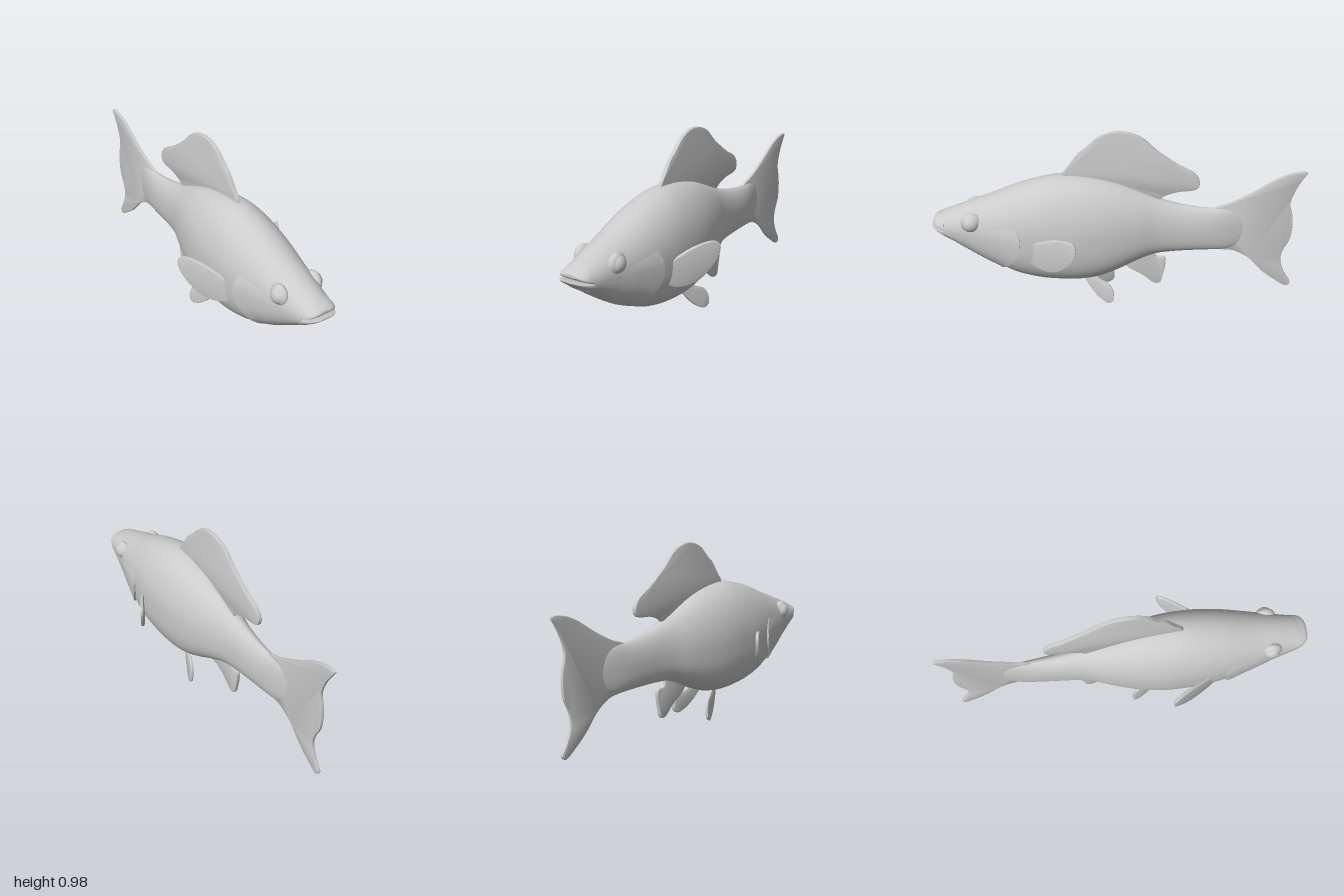
import * as THREE from 'three';
import { toCreasedNormals } from 'three/addons/utils/BufferGeometryUtils.js';

const material = new THREE.MeshStandardMaterial({ color: 0xcccccc, roughness: 0.7 });
const thinMaterial = new THREE.MeshStandardMaterial({ color: 0xcccccc, roughness: 0.7, side: THREE.DoubleSide });

// Smooth interpolation of table rows [key, ...values], keys ascending
function sample(table, key) {
  const n = table.length;
  let i = 0;
  while (i < n - 2 && key > table[i + 1][0]) i++;
  const a = table[i], b = table[i + 1], h = b[0] - a[0];
  const t = THREE.MathUtils.clamp((key - a[0]) / h, 0, 1);
  const slope = (k, c) => {
    const p = table[Math.max(k - 1, 0)], q = table[Math.min(k + 1, n - 1)];
    return (q[c] - p[c]) / (q[0] - p[0]);
  };
  return a.slice(1).map((v, k) => {
    const c = k + 1, t2 = t * t, t3 = t2 * t;
    return v * (2 * t3 - 3 * t2 + 1) + b[c] * (3 * t2 - 2 * t3)
      + h * (slope(i, c) * (t3 - 2 * t2 + t) + slope(i + 1, c) * (t3 - t2));
  });
}

// Point on a lofted skin: round above the widest line, fuller below it
function skin(table, z, angle, offset = 0) {
  const [top, bottom, half, mid] = sample(table, z);
  const s = Math.sin(angle), c = Math.cos(angle);
  const e = s < 0 ? 0.77 : 1;
  const x = Math.sign(c) * Math.pow(Math.abs(c), e) * (half + offset);
  const y = s < 0 ? mid - Math.pow(-s, e) * (mid - bottom + offset) : mid + s * (top - mid + offset);
  return [x, y, z];
}

// Indexed surface from rows of points
function surface(rows, closed) {
  const n = rows[0].length, index = [];
  for (let i = 0; i < rows.length - 1; i++) {
    for (let j = 0; j < (closed ? n : n - 1); j++) {
      const a = i * n + j, b = i * n + (j + 1) % n;
      index.push(a, a + n, b, b, a + n, b + n);
    }
  }
  const geometry = new THREE.BufferGeometry();
  geometry.setAttribute('position', new THREE.Float32BufferAttribute(rows.flat(2), 3));
  geometry.setIndex(index);
  geometry.computeVertexNormals();
  return geometry;
}

// Closed loft with flat caps, running from the front to the back
function loft(table, steps, sides = 64) {
  const z0 = table[0][0], z1 = table[table.length - 1][0], rows = [];
  for (let i = 0; i <= steps; i++) {
    const z = z1 + (z0 - z1) * i / steps;
    rows.push(Array.from({ length: sides }, (_, j) => skin(table, z, j / sides * Math.PI * 2)));
  }
  const cap = (row, z) => row.map(() => [0, sample(table, z)[3], z]);
  const first = rows[0], last = rows[steps];
  return surface([cap(first, z1), first, ...rows, last, cap(last, z0)], true);
}

// Thin fin from a smooth [z, y] outline, leaned sideways by the rule lean(z, y)
function finGeometry(outline, thickness, lean = () => 0) {
  const curve = new THREE.CatmullRomCurve3(outline.map(([z, y]) => new THREE.Vector3(z, y, 0)), true);
  const points = curve.getPoints(110).slice(0, -1).map(p => new THREE.Vector2(p.x, p.y));
  const bevel = 0.005;
  const geometry = new THREE.ExtrudeGeometry(new THREE.Shape(points), {
    depth: thickness - 2 * bevel, bevelThickness: bevel, bevelSize: bevel, bevelOffset: -bevel, bevelSegments: 2,
  });
  geometry.translate(0, 0, bevel - thickness / 2).rotateY(-Math.PI / 2);
  const p = geometry.attributes.position;
  for (let i = 0; i < p.count; i++) p.setX(i, p.getX(i) + lean(p.getZ(i), p.getY(i)));
  return toCreasedNormals(geometry, 0.6);
}

// Rows: z, top, bottom, half width, height of widest line
const BODY = [
  [-0.69, 0.43, 0.41, 0.004, 0.42], [-0.675, 0.475, 0.36, 0.009, 0.42], [-0.64, 0.52, 0.315, 0.018, 0.42],
  [-0.58, 0.54, 0.292, 0.032, 0.417], [-0.5, 0.54, 0.29, 0.046, 0.415], [-0.4, 0.55, 0.288, 0.058, 0.415],
  [-0.3, 0.572, 0.283, 0.07, 0.42], [-0.2, 0.605, 0.272, 0.091, 0.425], [-0.1, 0.648, 0.235, 0.125, 0.425],
  [0, 0.688, 0.185, 0.153, 0.425], [0.1, 0.714, 0.146, 0.174, 0.425], [0.2, 0.729, 0.13, 0.186, 0.425],
  [0.3, 0.732, 0.13, 0.19, 0.425], [0.4, 0.714, 0.138, 0.189, 0.425], [0.5, 0.686, 0.158, 0.18, 0.425],
  [0.57, 0.66, 0.182, 0.169, 0.43], [0.65, 0.627, 0.228, 0.154, 0.43], [0.7, 0.607, 0.248, 0.144, 0.43],
  [0.8, 0.57, 0.302, 0.122, 0.435], [0.89, 0.535, 0.364, 0.104, 0.438], [0.93, 0.52, 0.39, 0.096, 0.44],
];
const UPPER_JAW = [
  [0.925, 0.522, 0.434, 0.097, 0.443], [0.95, 0.509, 0.446, 0.09, 0.455],
  [0.97, 0.5, 0.457, 0.077, 0.464], [0.982, 0.494, 0.465, 0.06, 0.471], [0.988, 0.486, 0.472, 0.04, 0.477],
];
const LOWER_JAW = [
  [0.925, 0.442, 0.387, 0.097, 0.434], [0.95, 0.446, 0.408, 0.09, 0.439],
  [0.975, 0.452, 0.426, 0.076, 0.446], [0.992, 0.457, 0.44, 0.055, 0.451], [1, 0.457, 0.448, 0.032, 0.453],
];

// Raised plate wrapping the throat, with a curved rear edge
function gillCover() {
  const edge = [[0, 0.54], [0.12, 0.516], [0.24, 0.52], [0.39, 0.56], [0.64, 0.615], [1, 0.672]];
  const start = 0.28, cols = 80, steps = 16, front = 0.86;
  const row = (t, lift) => Array.from({ length: cols + 1 }, (_, j) => {
    const angle = start - (start * 2 + Math.PI) * j / cols;
    const u = 1 - Math.abs(1 - 2 * j / cols);
    const z = THREE.MathUtils.lerp(sample(edge, u)[0], front, t);
    return skin(BODY, z, angle, lift * Math.min(1, u * 6) - 0.002 * t);
  });
  const rows = [row(0, -0.012), row(0, 0.012)];
  for (let i = 0; i <= steps; i++) rows.push(row(i / steps, 0.012 * (1 - i / steps) ** 1.5));
  return surface(rows, false);
}

const DORSAL = [
  [0.297, 0.725], [0.255, 0.79], [0.206, 0.857], [0.169, 0.887], [0.11, 0.943], [0.05, 0.972], [-0.019, 0.98],
  [-0.115, 0.953], [-0.206, 0.873], [-0.324, 0.79], [-0.404, 0.745], [-0.434, 0.695], [-0.42, 0.655],
  [-0.313, 0.635], [-0.235, 0.603], [-0.2, 0.55], [0, 0.6], [0.25, 0.66],
];
const TAIL = [
  [-0.5, 0.52], [-0.608, 0.573], [-0.715, 0.632], [-0.85, 0.718], [-0.93, 0.75], [-0.997, 0.753],
  [-0.97, 0.7], [-0.945, 0.65], [-0.923, 0.57], [-0.94, 0.49], [-0.945, 0.418], [-0.935, 0.345], [-0.905, 0.28],
  [-0.897, 0.22], [-0.92, 0.15], [-0.96, 0.075], [-0.94, 0.056], [-0.875, 0.092], [-0.8, 0.15],
  [-0.715, 0.236], [-0.635, 0.28], [-0.52, 0.305],
];
const ANAL = [
  [-0.02, 0.22], [-0.06, 0.17], [-0.137, 0.123], [-0.205, 0.07], [-0.235, 0.075], [-0.25, 0.12], [-0.26, 0.232],
  [-0.21, 0.243], [-0.19, 0.3], [-0.1, 0.29],
];
const PELVIC = [
  [0.185, 0.145], [0.165, 0.105], [0.131, 0.059], [0.09, 0.022], [0.05, 0.004], [0.022, 0.025], [0.02, 0.06],
  [0.04, 0.112], [0.09, 0.138], [0.14, 0.165], [0.18, 0.17],
];
const PECTORAL = [
  [0.49, 0.32], [0.45, 0.283], [0.4, 0.27], [0.35, 0.275], [0.3, 0.3], [0.233, 0.375], [0.21, 0.444],
  [0.222, 0.478], [0.25, 0.486], [0.33, 0.47], [0.4, 0.437], [0.47, 0.395],
];

export function createModel() {
  const model = new THREE.Group();
  const add = (name, geometry, mat = material) => {
    const mesh = new THREE.Mesh(geometry, mat);
    mesh.name = name;
    model.add(mesh);
    return mesh;
  };

  // Body and head
  add('body', loft(BODY, 110));
  add('upperJaw', loft(UPPER_JAW, 14));
  add('lowerJaw', loft(LOWER_JAW, 14));
  add('gillCover', gillCover(), thinMaterial);

  // Fins on the centre line
  add('dorsalFin', finGeometry(DORSAL, 0.024));
  add('tailFin', finGeometry(TAIL, 0.018));
  add('analFin', finGeometry(ANAL, 0.022));

  // Paired fins and eyes
  for (const [label, side] of [['left', 1], ['right', -1]]) {
    add(label + 'PectoralFin', finGeometry(PECTORAL, 0.02, z => side * (0.165 + 0.58 * (0.46 - z))));
    add(label + 'PelvicFin', finGeometry(PELVIC, 0.018,
      (z, y) => side * (0.05 + 0.35 * (0.185 - z) + 0.1 * (0.14 - y))));

    const rim = add(label + 'EyeRim', new THREE.SphereGeometry(1, 32, 24));
    rim.scale.set(0.033, 0.057, 0.057);
    rim.position.set(side * 0.102, 0.495, 0.775);
    const eye = add(label + 'Eye', new THREE.SphereGeometry(1, 32, 24));
    eye.scale.set(0.042, 0.047, 0.047);
    eye.position.set(side * 0.104, 0.495, 0.775);
  }
  return model;
}
